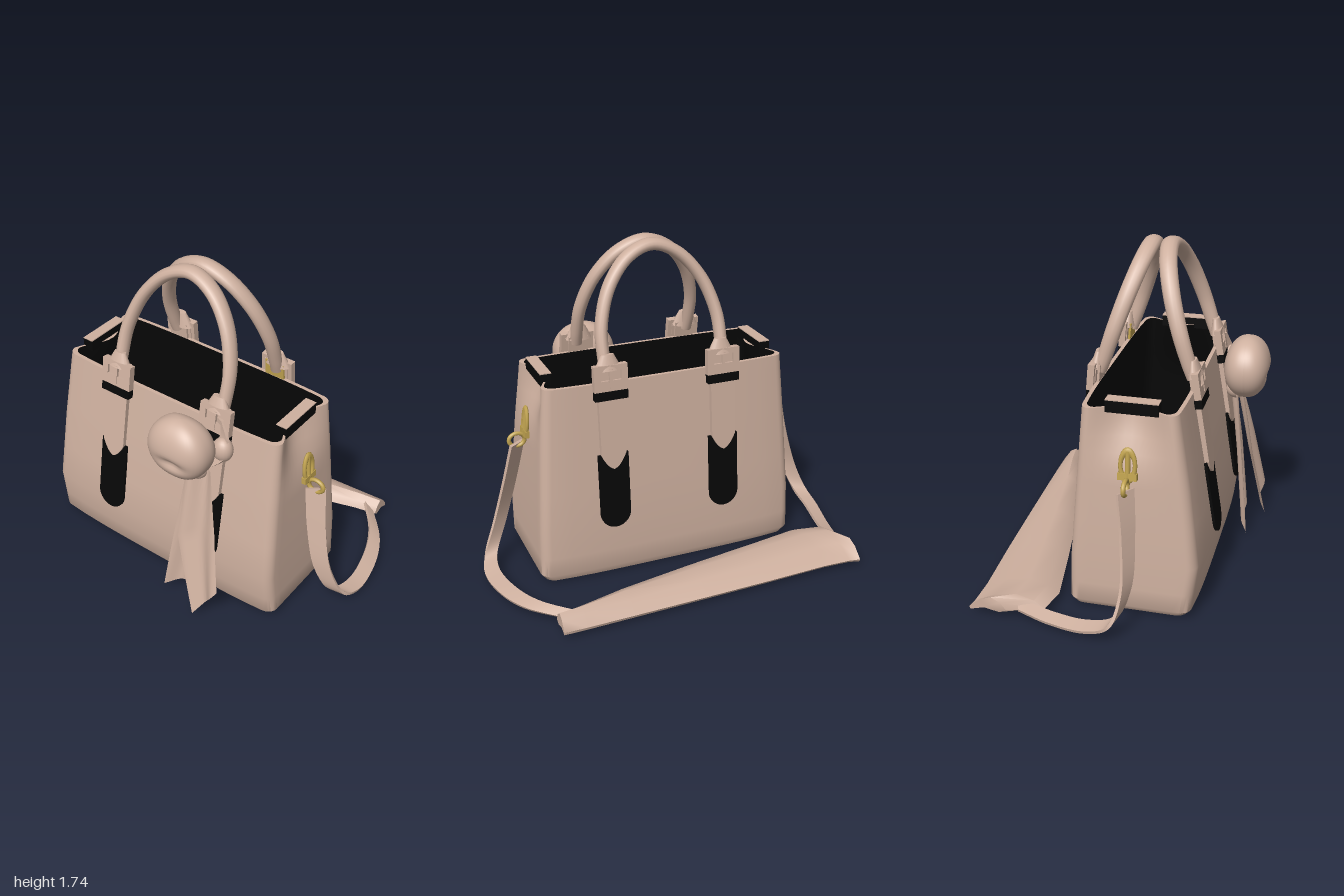
import * as THREE from 'three';
import { toCreasedNormals } from 'three/addons/utils/BufferGeometryUtils.js';

const V = (x, y, z) => new THREE.Vector3(x, y, z);
const lerp = THREE.MathUtils.lerp;

function material(name, color) {
  const m = new THREE.MeshStandardMaterial({ color, side: THREE.DoubleSide });
  m.name = name;
  return m;
}

// Skin a list of equal-length cross-sections
function loft(rows, { closed = true, capStart = false, capEnd = false, crease = 0.7 } = {}) {
  const n = rows[0].length, pos = [], idx = [];
  rows.forEach(r => r.forEach(p => pos.push(p.x, p.y, p.z)));
  for (let i = 0; i < rows.length - 1; i++)
    for (let j = 0; j < (closed ? n : n - 1); j++) {
      const a = i * n + j, b = i * n + (j + 1) % n;
      idx.push(a, a + n, b, b, a + n, b + n);
    }
  const cap = (row, start, flip) => {
    const c = row.reduce((s, p) => s.add(p), V(0, 0, 0)).divideScalar(n);
    const k = pos.length / 3;
    pos.push(c.x, c.y, c.z);
    for (let j = 0; j < n; j++) {
      const a = start + j, b = start + (j + 1) % n;
      flip ? idx.push(k, b, a) : idx.push(k, a, b);
    }
  };
  if (capStart) cap(rows[0], 0, false);
  if (capEnd) cap(rows[rows.length - 1], (rows.length - 1) * n, true);
  const g = new THREE.BufferGeometry();
  g.setAttribute('position', new THREE.Float32BufferAttribute(pos, 3));
  g.setIndex(idx);
  return toCreasedNormals(g, crease);
}

// Flat strap along a path; half-width vector blends from w0 to w1
function ribbon(points, w0, w1, thick = 0.016) {
  const curve = new THREE.CatmullRomCurve3(points), rows = [], N = 40;
  for (let i = 0; i <= N; i++) {
    const p = curve.getPoint(i / N), w = w0.clone().lerp(w1, i / N);
    const n = curve.getTangent(i / N).cross(w).normalize().multiplyScalar(thick / 2);
    rows.push([p.clone().add(w).add(n), p.clone().sub(w).add(n), p.clone().sub(w).sub(n), p.clone().add(w).sub(n)]);
  }
  return loft(rows, { capStart: true, capEnd: true });
}

// Oval handle, broader front to back toward the crown
function handleGeometry(points) {
  const curve = new THREE.CatmullRomCurve3(points), rows = [], N = 64;
  for (let i = 0; i <= N; i++) {
    const p = curve.getPoint(i / N), t = curve.getTangent(i / N);
    const n = t.clone().cross(V(0, 0, 1)).normalize(), b = n.clone().cross(t);
    const wide = 0.033 + 0.013 * Math.sin(Math.PI * i / N), row = [];
    for (let j = 0; j < 14; j++) {
      const a = j / 14 * 2 * Math.PI;
      row.push(p.clone().addScaledVector(n, 0.032 * Math.cos(a)).addScaledVector(b, wide * Math.sin(a)));
    }
    rows.push(row);
  }
  return loft(rows, { crease: 1 });
}

// Body profile: y, half width, back z, front z
const PROFILE = [[0.015, 0.7, -0.185, 0.43], [0.05, 0.725, -0.2, 0.455], [0.3, 0.72, -0.195, 0.485],
  [0.7, 0.695, -0.165, 0.43], [1.08, 0.67, -0.135, 0.365]];

// Rounded rectangle whose ends fold inward near the rim
function bodyRing(y, inset = 0) {
  let k = 0;
  while (k < PROFILE.length - 2 && y > PROFILE[k + 1][0]) k++;
  const A = PROFILE[k], B = PROFILE[k + 1], t = (y - A[0]) / (B[0] - A[0]);
  const hx = lerp(A[1], B[1], t) - inset, z0 = lerp(A[2], B[2], t) + inset, z1 = lerp(A[3], B[3], t) - inset;
  const zc = (z0 + z1) / 2, hz = (z1 - z0) / 2, r = 0.05;
  const dent = 0.13 * THREE.MathUtils.smoothstep(y, 0.75, 1.08);
  const base = [];
  [[1, 1], [-1, 1], [-1, -1], [1, -1]].forEach(([sx, sz], c) => {
    for (let i = 0; i <= 6; i++) {
      const a = (c + i / 6) * Math.PI / 2;
      base.push([sx * (hx - r) + r * Math.cos(a), sz * (hz - r) + r * Math.sin(a)]);
    }
  });
  const out = [];
  base.forEach((p, i) => {
    const q = base[(i + 1) % base.length], steps = i % 7 === 6 ? 12 : 1;
    for (let s = 0; s < steps; s++) {
      const x = lerp(p[0], q[0], s / steps), z = lerp(p[1], q[1], s / steps);
      const fold = 1 - dent * Math.cos(z / hz * Math.PI / 2) ** 2;
      out.push(V(x * fold, y, zc + z * (1 - 0.07 * (x / hx) ** 4)));
    }
  });
  return out;
}

// Strap outline hanging from y0 to y1 with a pointed or round tip
function tongue(w, y0, y1, round) {
  const s = new THREE.Shape(), h = w / 2;
  s.moveTo(h, y0);
  s.lineTo(-h, y0);
  if (round) {
    s.lineTo(-h, y1 + h);
    s.absarc(0, y1 + h, h, Math.PI, 2 * Math.PI, false);
  } else {
    s.lineTo(-h * 0.95, y1 + 0.08);
    s.quadraticCurveTo(-h * 0.5, y1 + 0.01, 0, y1);
    s.quadraticCurveTo(h * 0.5, y1 + 0.01, h * 0.95, y1 + 0.08);
  }
  return s;
}
const extrude = (shape, depth) => new THREE.ExtrudeGeometry(shape, { depth, bevelEnabled: false, curveSegments: 14 });

export function createModel() {
  const leather = material('beige leather', 0xceb09f), black = material('black', 0x070707);
  const gold = material('gold metal', 0xc2a450), brown = material('brown lining', 0x846c5d);
  const taupe = material('taupe base', 0xa08a7c);
  const model = new THREE.Group();
  const add = (name, geo, mat, p = [0, 0, 0], parent = model) => {
    const m = new THREE.Mesh(geo, mat);
    m.name = name;
    m.position.set(...p);
    parent.add(m);
    return m;
  };

  // Body shell, lining, floor and base panels
  const levels = [0.015, 0.05, 0.15, 0.3, 0.5, 0.7, 0.78, 0.86, 0.94, 1.01, 1.08];
  add('body', loft([...levels.map(y => bodyRing(y)), bodyRing(1.08, 0.02)], { capStart: true }), leather);
  add('lining', loft(levels.slice(1).map(y => bodyRing(y, 0.02))), black);
  add('floorEdge', new THREE.BoxGeometry(1.36, 0.01, 0.58), black, [0, 0.05, 0.13]);
  add('floor', new THREE.BoxGeometry(1.18, 0.01, 0.58), brown, [0, 0.06, 0.13]);
  add('basePanel', new THREE.BoxGeometry(1.2, 0.006, 0.46), brown, [0, 0.013, 0.122]);
  add('baseInset', new THREE.BoxGeometry(0.92, 0.006, 0.28), taupe, [0, 0.007, 0.122]);

  // Handle with two buckled straps, repeated on the back
  for (const side of ['front', 'back']) {
    const front = side === 'front', set = new THREE.Group();
    set.name = side + 'HandleSet';
    if (!front) { set.rotation.y = Math.PI; set.position.set(0.03, 0, 0.23); }
    model.add(set);
    const arch = [[-0.305, 1.13], [-0.308, 1.2], [-0.3, 1.35], [-0.235, 1.53], [-0.12, 1.66], [0.015, 1.71],
      [0.15, 1.66], [0.265, 1.53], [0.33, 1.35], [0.338, 1.2], [0.335, 1.13]];
    add('handle', handleGeometry(arch.map(([x, y]) => V(x, y, 0.35 - 0.188 * (y - 1.13) / 0.58))), leather, [0, 0, 0], set);
    for (const x of [-0.295, 0.325]) {
      const g = new THREE.Group();
      g.name = 'buckledStrap';
      g.position.set(x, 1.08, front ? 0.366 : 0.364);
      g.rotation.x = front ? -0.16 : -0.085;
      set.add(g);
      add('strapTail', extrude(tongue(0.165, -0.38, -0.79, true), 0.014), black, [0, 0, 0], g);
      add('strap', extrude(tongue(0.14, 0.08, -0.46, false), 0.026), leather, [0, 0, -0.002], g);
      add('keeper', new THREE.BoxGeometry(0.175, 0.045, 0.045), black, [0, -0.06, 0.014], g);
      const frame = new THREE.Shape([[-0.09, -0.035], [0.09, -0.035], [0.09, 0.1], [-0.09, 0.1]].map(p => new THREE.Vector2(...p)));
      frame.holes.push(new THREE.Path([[-0.055, 0.02], [-0.055, 0.07], [0.055, 0.07], [0.055, 0.02]].map(p => new THREE.Vector2(...p))));
      add('buckle', extrude(frame, 0.035), leather, [0, 0, 0.002], g);
      add('buckleProng', new THREE.BoxGeometry(0.018, 0.1, 0.014), leather, [0, 0.03, 0.034], g);
      // Only the back strap on the charm's side shows its metal plate
      add('bucklePlate', new THREE.BoxGeometry(0.11, 0.1, 0.012), !front && x < 0 ? gold : leather, [0, 0.04, -0.012], g);
      const root = add('handleRoot', new THREE.CylinderGeometry(0.034, 0.075, 0.08, 16), leather, [-0.005, 0.11, 0.006], g);
      root.scale.z = 0.5;
    }
  }

  // Side hardware and folded rim tabs
  for (const s of [-1, 1]) {
    add('rimTab', new THREE.BoxGeometry(0.06, 0.06, 0.26), black, [s * 0.615, 1.09, 0.125]);
    add('rimTabTop', new THREE.BoxGeometry(0.06, 0.005, 0.26), leather, [s * 0.615, 1.1225, 0.125]);
    const link = new THREE.Group();
    link.name = 'sideLink';
    link.position.set(s * 0.7, 0.82, 0.12);
    link.rotation.z = s * 0.09;
    model.add(link);
    const loop = add('loop', new THREE.TorusGeometry(0.036, 0.011, 8, 24), gold, [0, 0, 0], link);
    loop.rotation.y = Math.PI / 2;
    loop.scale.y = 2;
    add('post', new THREE.CylinderGeometry(0.013, 0.013, 0.15, 10), gold, [0, 0, 0], link);
    add('clasp', new THREE.BoxGeometry(0.024, 0.035, 0.095), gold, [0, -0.055, 0], link);
    const ring = add('ring', new THREE.TorusGeometry(0.042, 0.012, 8, 24), gold, [s * 0.75, 0.728, 0.12]);
    ring.scale.y = 0.85;
  }

  // Shoulder strap: two arms and a wide pad resting behind the bag
  add('shoulderStrapLeft', ribbon([V(0.75, 0.71, 0.12), V(0.79, 0.5, 0.155), V(0.855, 0.25, 0.17), V(0.925, 0.09, 0.12),
    V(0.955, 0.05, 0), V(0.925, 0.05, -0.22), V(0.85, 0.06, -0.4), V(0.7, 0.075, -0.58)],
  V(0.042, 0, -0.03), V(0.036, -0.018, 0.012)), leather);
  add('shoulderStrapRight', ribbon([V(-0.75, 0.71, 0.12), V(-0.81, 0.5, 0.145), V(-0.895, 0.25, 0.155), V(-0.95, 0.1, 0.1),
    V(-0.955, 0.06, -0.02), V(-0.915, 0.05, -0.22), V(-0.87, 0.07, -0.4)],
  V(0.042, 0, 0.03), V(0.036, 0.012, -0.012)), leather);
  const pad = [[-0.91, -0.45, -0.645], [-0.85, -0.27, -0.635], [-0.7, -0.24, -0.63], [-0.35, -0.3, -0.645], [0, -0.365, -0.655],
    [0.4, -0.45, -0.665], [0.65, -0.525, -0.67], [0.77, -0.55, -0.67]];
  add('shoulderPad', loft(pad.map(([x, zf, zb]) => {
    const at = (t, y) => V(x, y, lerp(zf, zb, t));
    return [at(0, 0.05), at(0.15, 0.09), at(0.4, 0.115), at(0.7, 0.095), at(1, 0.045), at(0.97, 0.03), at(0.6, 0.05), at(0.2, 0.035)];
  }), { capStart: true, capEnd: true, crease: 0.9 }), leather);

  // Round charm with a dimple on its face
  const ball = new THREE.SphereGeometry(1, 48, 36), bp = ball.attributes.position;
  for (let i = 0; i < bp.count; i++) {
    const p = V(0, 0, 0).fromBufferAttribute(bp, i);
    const r = Math.hypot(p.x, p.z);
    if (r > 0.001) {
      const q = r / (Math.abs(p.x) ** 2.5 + Math.abs(p.z) ** 2.5) ** 0.4;
      p.x *= q;
      p.z *= q;
    }
    if (p.z > 0) {
      const d = ((p.x - 0.1) / 0.4) ** 2 + ((p.y + 0.25) / 0.17) ** 2;
      p.z *= 1 - 0.24 * Math.exp(-d);
    }
    bp.setXYZ(i, p.x * 0.172, p.y * 0.167, p.z * 0.12);
  }
  ball.computeVertexNormals();
  add('charmBall', ball, leather, [0.235, 1.003, 0.54]);
  add('charmLoop', ribbon([V(0.33, 1.13, 0.375), V(0.385, 1.03, 0.41), V(0.38, 0.95, 0.44), V(0.29, 0.86, 0.47)],
    V(0.045, 0, 0.02), V(0.04, 0, 0)), leather);
  add('charmBow', new THREE.SphereGeometry(0.06, 20, 14), leather, [0.395, 0.985, 0.42]).scale.set(0.9, 1.1, 0.8);
  add('charmKnot', new THREE.SphereGeometry(0.055, 20, 14), leather, [0.285, 0.85, 0.475]);

  // Pleated scarf tails: edges as x at top, middle, tip; then tip heights and depth
  const tails = [{ l: [0.23, 0.185, 0.135], r: [0.33, 0.37, 0.34], tip: [0.035, 0.16], z: [0.465, 0.555] },
    { l: [0.24, 0.24, 0.38], r: [0.37, 0.45, 0.51], tip: [0.03, 0.23], z: [0.49, 0.63] }];
  const bend = (a, t) => t < 0.5 ? lerp(a[0], a[1], t * 2) : lerp(a[1], a[2], t * 2 - 1);
  tails.forEach(({ l, r, tip, z }) => {
    const rows = [];
    for (let i = 0; i <= 20; i++) {
      const t = i / 20, row = [];
      for (let j = 0; j <= 24; j++) {
        const u = j / 24;
        row.push(V(lerp(bend(l, t), bend(r, t), u), lerp(0.87, lerp(tip[0], tip[1], u), t),
          lerp(z[0], z[1], t) - 0.03 * (u - 0.5) + 0.016 * Math.sin(u * 7 + t * 2)));
      }
      rows.push(row);
    }
    add('scarfTail', loft(rows, { closed: false, crease: 1.2 }), leather);
  });
  return model;
}
